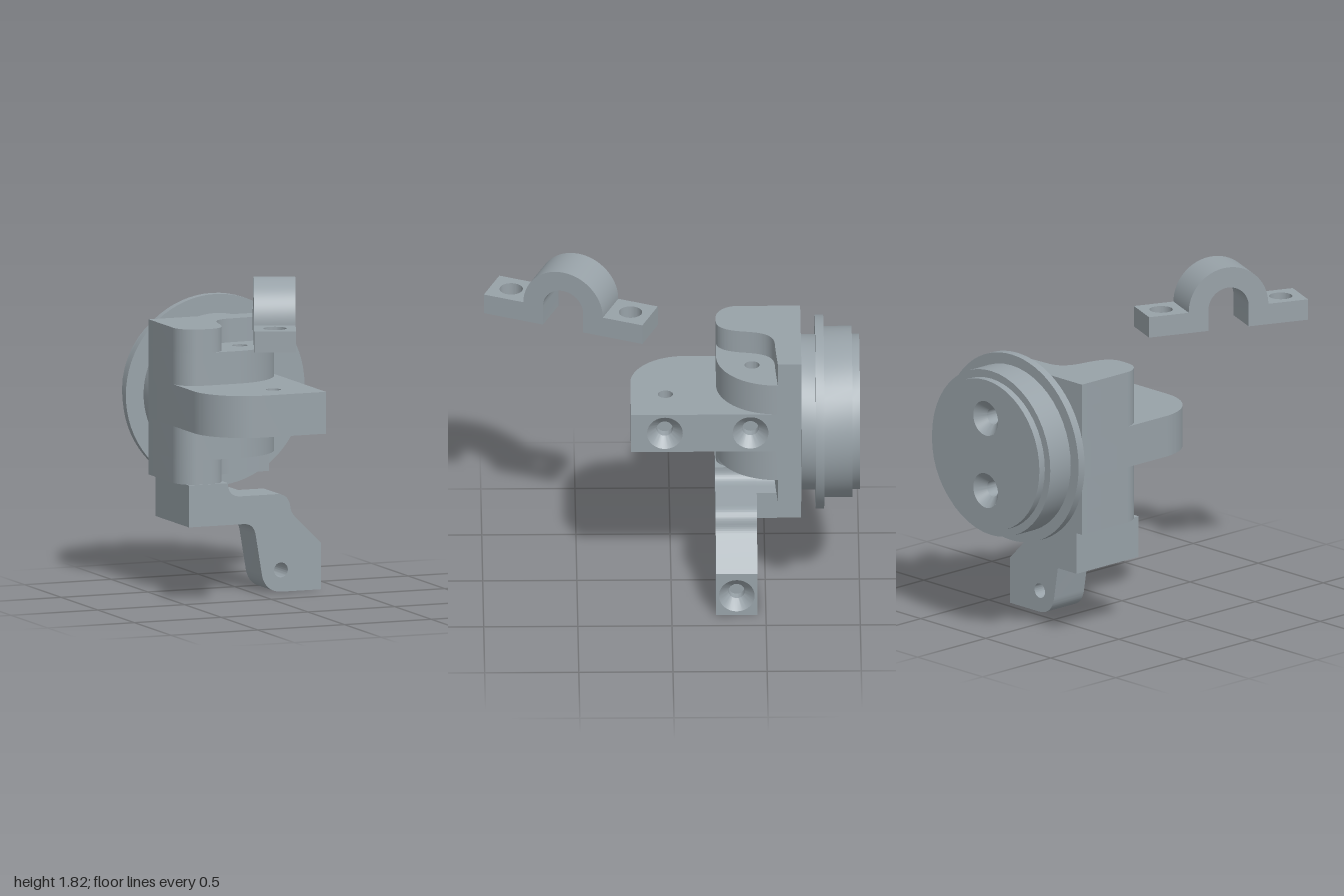
import * as THREE from 'three';
import { toCreasedNormals } from 'three/addons/utils/BufferGeometryUtils.js';

const metal = new THREE.MeshStandardMaterial({ color: 0x98a2a8, side: THREE.DoubleSide });
metal.name = 'grey metal';

const SINK_R = 0.095, BORE_R = 0.043, PIN_R = 0.04;

function mesh(name, geometry, parent) {
  const m = new THREE.Mesh(toCreasedNormals(geometry, 0.6), metal);
  m.name = name;
  parent.add(m);
  return m;
}

function circle(x, y, r) {
  return new THREE.Shape().absarc(x, y, r, 0, Math.PI * 2, false);
}

function rect(x0, y0, x1, y1) {
  return new THREE.Shape([[x0, y0], [x1, y0], [x1, y1], [x0, y1]].map(p => new THREE.Vector2(...p)));
}

function drill(shape, holes, r) {
  for (const [x, y] of holes) {
    shape.holes.push(new THREE.Path().absarc(x, y, r, 0, Math.PI * 2, true));
  }
  return shape;
}

function extrude(shape, depth) {
  return new THREE.ExtrudeGeometry(shape, { depth, bevelEnabled: false, curveSegments: 24 });
}

// Plan outline (x, -z) raised from y0 to y1
function layer(name, shape, y0, y1, parent) {
  return mesh(name, extrude(shape, y1 - y0).rotateX(-Math.PI / 2).translate(0, y0, 0), parent);
}

// Plate with its outer face on local z = 0 and countersunk screw holes
function sunkPlate(name, shape, depth, holes, boreDepth, parent) {
  const g = new THREE.Group();
  g.name = name;
  parent.add(g);
  mesh(name + 'Body', extrude(drill(shape, holes, SINK_R), depth).translate(0, 0, -depth), g);
  const profile = [[SINK_R, 0], [BORE_R, -0.052], [BORE_R, -boreDepth], [0, -boreDepth]];
  for (const [x, y] of holes) {
    const pts = profile.map(p => new THREE.Vector2(...p));
    mesh('countersink', new THREE.LatheGeometry(pts, 40).rotateX(Math.PI / 2).translate(x, y, 0), g);
  }
  return g;
}

// Round mounting disc at the back
function buildDisc(parent) {
  const disc = new THREE.Group();
  disc.name = 'mountingDisc';
  disc.position.y = 1.02;
  parent.add(disc);
  for (const [name, r, z0, z1] of [['discNeck', 0.413, -0.765, -0.69], ['discFlange', 0.515, -0.81, -0.765]]) {
    mesh(name, new THREE.CylinderGeometry(r, r, z1 - z0, 72).rotateX(Math.PI / 2).translate(0, 0, (z0 + z1) / 2), disc);
  }
  const holes = [[0, 0.2], [0, -0.2]];
  mesh('discDrum', extrude(drill(circle(0, 0, 0.455), holes, SINK_R), 0.15).translate(0, 0, -0.96), disc);
  const face = sunkPlate('discFace', circle(0, 0, 0.413), 0.04, holes, 0.19, disc);
  face.rotation.y = Math.PI;
  face.position.z = -1;
}

// Hinge block: lugs, knuckles and the long central arm
function buildHinge(parent) {
  const hinge = new THREE.Group();
  hinge.name = 'hingeBlock';
  parent.add(hinge);

  const startLeft = () => {
    const s = new THREE.Shape();
    s.moveTo(0.225, 0.69);
    s.lineTo(-0.415, 0.69);
    s.lineTo(-0.415, 0.36);
    s.absarc(-0.295, 0.36, 0.12, Math.PI, Math.PI * 1.5, false);
    return s;
  };
  const lug = startLeft();
  lug.lineTo(-0.24, 0.24);
  lug.bezierCurveTo(-0.17, 0.245, -0.15, 0.31, -0.138, 0.37);
  lug.bezierCurveTo(-0.125, 0.47, -0.11, 0.535, -0.02, 0.55);
  lug.quadraticCurveTo(0.1, 0.555, 0.225, 0.565);

  const knuckle = startLeft();
  knuckle.lineTo(-0.095, 0.24);
  knuckle.absarc(-0.095, 0.56, 0.32, -Math.PI / 2, 0, false);
  drill(knuckle, [[0, 0.43]], PIN_R);

  layer('upperLug', lug, 1.305, 1.433, hinge);
  layer('upperKnuckle', knuckle, 1.13, 1.305, hinge);
  layer('lowerKnuckle', knuckle, 0.905, 1.13 - 0.4 + 0.175, hinge).geometry
    .copy(toCreasedNormals(extrude(knuckle, 0.175).rotateX(-Math.PI / 2).translate(0, 0.73, 0), 0.6));
  layer('lowerLug', lug, 0.6, 0.73, hinge);

  const arm = new THREE.Shape();
  arm.moveTo(0.125, 0.69);
  arm.lineTo(-0.415, 0.69);
  arm.lineTo(-0.415, 0.075);
  arm.absarc(-0.125, 0.075, 0.29, Math.PI, Math.PI * 1.5, false);
  arm.lineTo(0.125, -0.215);
  drill(arm, [[0, 0.43], [0, -0.03]], PIN_R);
  layer('arm', arm, 0.905, 1.13, hinge);

  const side = sunkPlate('armSide', rect(-0.215, 0.905, 0.69, 1.13), 0.1, [[-0.035, 1.018], [0.42, 1.018]], 0.1, hinge);
  side.rotation.y = Math.PI / 2;
  side.position.x = 0.225;
}

// Cranked bracket under the hinge
function buildBracket(parent) {
  const bracket = new THREE.Group();
  bracket.name = 'lowerBracket';
  parent.add(bracket);

  const start = () => {
    const s = new THREE.Shape();
    s.moveTo(-0.15, 0.6);
    s.lineTo(-0.375, 0.6);
    s.lineTo(-0.375, 0.475);
    s.lineTo(-0.1, 0.475);
    s.lineTo(-0.1, 0.375);
    return s;
  };
  const finish = s => {
    s.lineTo(-0.075, 0.525);
    s.quadraticCurveTo(-0.15, 0.525, -0.15, 0.6);
    return s;
  };
  const leg = start();
  leg.lineTo(-0.06, 0.375);
  leg.quadraticCurveTo(0, 0.375, 0.01, 0.31);
  leg.lineTo(0.045, 0.1);
  leg.quadraticCurveTo(0.062, 0.005, 0.155, 0);
  leg.lineTo(0.285, 0);
  leg.lineTo(0.285, 0.25);
  leg.lineTo(0.385, 0.25);
  leg.lineTo(0.235, 0.4);
  leg.quadraticCurveTo(0.215, 0.42, 0.21, 0.45);
  leg.quadraticCurveTo(0.2, 0.525, 0.13, 0.525);
  drill(finish(leg), [[0.155, 0.117]], PIN_R);
  mesh('bracketLeg', extrude(leg, 0.22).translate(0, 0, -0.455), bracket);

  const back = start();
  back.lineTo(0, 0.375);
  back.lineTo(0, 0.525);
  mesh('bracketBack', extrude(finish(back), 0.235).translate(0, 0, -0.69), bracket);

  const foot = sunkPlate('bracketFoot', rect(-0.11, 0, 0.11, 0.25), 0.1, [[0, 0.117]], 0.1, bracket);
  foot.rotation.y = Math.PI / 2;
  foot.position.set(0.385, 0, -0.345);

  const base = sunkPlate('bracketBase', rect(-0.375, -0.69, -0.1, -0.235), 0.1, [[-0.25, -0.34], [-0.25, -0.585]], 0.1, bracket);
  base.rotation.x = Math.PI / 2;
  base.position.y = 0.375;
}

// Separate arched clamp
function buildClamp(parent) {
  const clamp = new THREE.Group();
  clamp.name = 'clamp';
  clamp.position.set(-0.206, 1.475, 0.53);
  clamp.rotation.y = 1.181;
  parent.add(clamp);

  const arch = new THREE.Shape();
  arch.moveTo(0.115, 0);
  arch.lineTo(0.227, 0);
  arch.absarc(0, 0.113, 0.227, 0, Math.PI, false);
  arch.lineTo(-0.227, 0);
  arch.lineTo(-0.115, 0);
  arch.absarc(0, 0.113, 0.115, Math.PI, 0, true);
  mesh('clampArch', extrude(arch, 0.222).translate(0, 0, -0.111), clamp);

  for (const s of [-1, 1]) {
    const ear = drill(rect(s * 0.34 - 0.113, -0.111, s * 0.34 + 0.113, 0.111), [[s * 0.341, 0]], 0.062);
    layer('clampEar', ear, 0, 0.113, clamp);
  }
}

export function createModel() {
  const model = new THREE.Group();
  model.name = 'hingedMount';
  buildDisc(model);
  buildHinge(model);
  buildBracket(model);
  buildClamp(model);
  return model;
}
